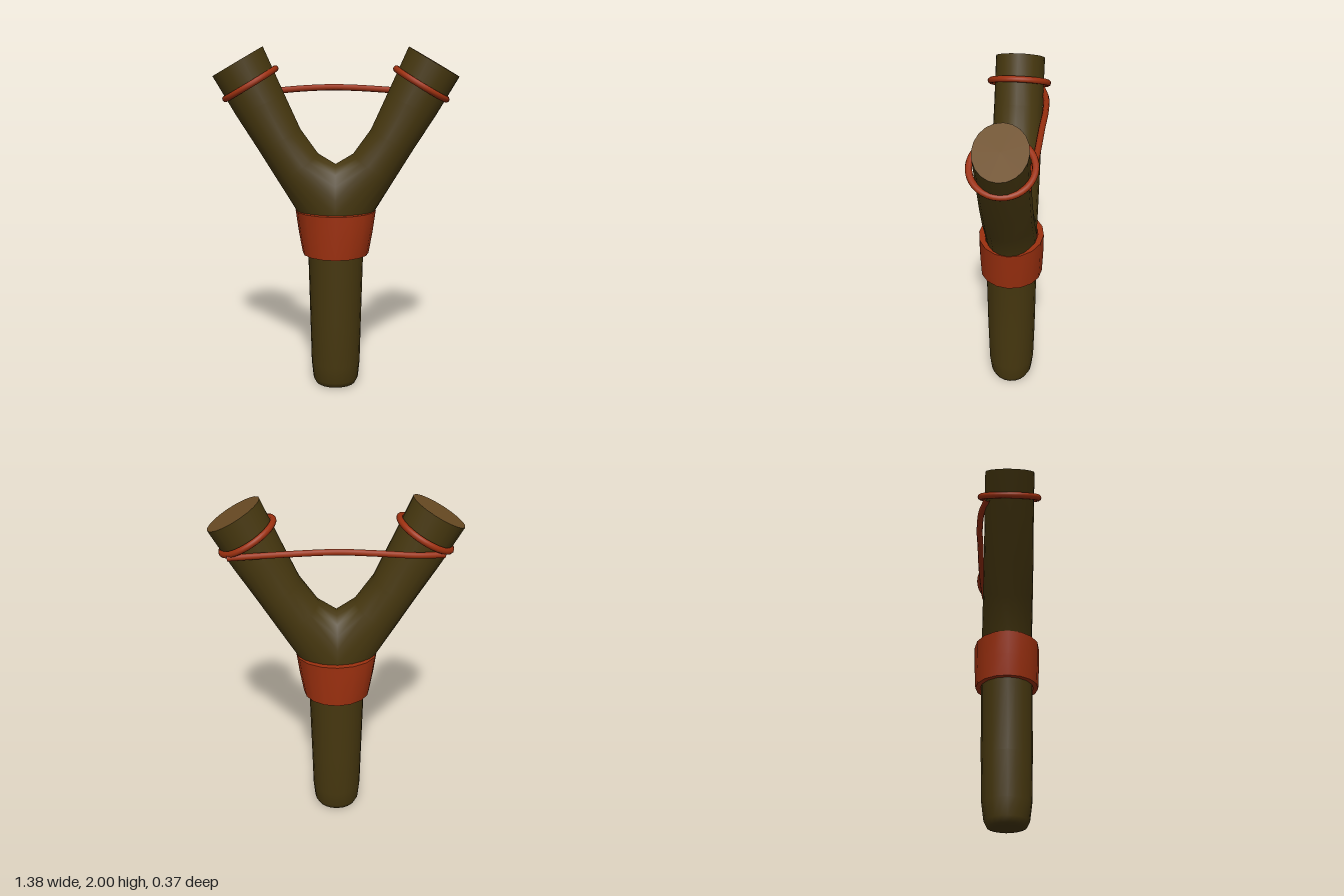
import * as THREE from 'three';
import { mergeVertices, mergeGeometries } from 'three/addons/utils/BufferGeometryUtils.js';

const N = 20; // sides of every branch section

// One ring of points from a rule (cos, sin) -> [x, y, z]
function ring(rule, n = N) {
  return Array.from({ length: n }, (_, i) => {
    const a = (i / n) * Math.PI * 2;
    return rule(Math.cos(a), Math.sin(a));
  });
}

// Skin over successive rings; mirrored copies reverse the corner order
function loft(rings, mirror = false) {
  const n = rings[0].length, pos = [], idx = [];
  for (const r of rings) for (const [x, y, z] of r) pos.push(mirror ? -x : x, y, z);
  for (let k = 0; k < rings.length - 1; k++) {
    for (let i = 0; i < n; i++) {
      const a = k * n + i, b = k * n + ((i + 1) % n), c = a + n, d = b + n;
      if (mirror) idx.push(a, b, c, b, d, c);
      else idx.push(a, c, b, b, c, d);
    }
  }
  const g = new THREE.BufferGeometry();
  g.setAttribute('position', new THREE.Float32BufferAttribute(pos, 3));
  g.setIndex(idx);
  return g;
}

function smooth(g) {
  const m = mergeVertices(g, 1e-4);
  m.computeVertexNormals();
  return m;
}

// Ring of an arm between its inner and outer edge points
function armRing([ix, iy], [ox, oy], depth) {
  const cx = (ix + ox) / 2, cy = (iy + oy) / 2, ux = (ox - ix) / 2, uy = (oy - iy) / 2;
  return ring((c, s) => [cx + ux * c, cy + uy * c, depth * s]);
}

export function createModel() {
  const bark = new THREE.MeshStandardMaterial({ color: 0x46370f });
  bark.name = 'darkBark';
  const cut = new THREE.MeshStandardMaterial({ color: 0x6b4c24 });
  cut.name = 'cutWood';
  const red = new THREE.MeshStandardMaterial({ color: 0x9c300f });
  red.name = 'redRubber';

  const model = new THREE.Group();
  model.name = 'slingshot';
  const add = (name, geometry, material) => {
    const mesh = new THREE.Mesh(geometry, material);
    mesh.name = name;
    model.add(mesh);
    return mesh;
  };

  // Handle sections: height, half width, half depth
  const handle = [
    [0, 0, 0], [0, 0.09, 0.085], [0.008, 0.118, 0.108], [0.04, 0.134, 0.125],
    [0.14, 0.144, 0.138], [0.4, 0.15, 0.144], [0.8, 0.16, 0.148], [0.92, 0.185, 0.148], [1.07, 0.228, 0.146],
  ].map(([y, w, d]) => ring((c, s) => [w * c, y, d * s]));

  // Arm: outer half starts on the handle, inner half follows the crotch on x = 0
  const saddle = ring((c, s) => [Math.max(0, c) * 0.228, 1.07 + Math.max(0, -c) * 0.27, 0.146 * s]);
  const tip = armRing([0.405, 2.0], [0.69, 1.835], 0.14);
  const arm = [
    saddle,
    armRing([0.1, 1.4], [0.33, 1.24], 0.143),
    armRing([0.2, 1.54], [0.445, 1.43], 0.142),
    armRing([0.29, 1.74], [0.565, 1.62], 0.14),
    tip,
  ];
  add('forkedBranch', smooth(mergeGeometries([loft(handle), loft(arm), loft(arm, true)])), bark);

  // Pale cut ends of both arms
  const tipCentre = ring(() => [0.5475, 1.9175, 0]);
  for (const [side, mirror] of [['left', false], ['right', true]]) {
    add(side + 'CutEnd', smooth(loft([tip, tipCentre], mirror)), cut);

    // Rubber loop tied round the arm
    const loop = add(side + 'Loop', new THREE.TorusGeometry(0.164, 0.018, 10, 36), red);
    const sign = mirror ? -1 : 1;
    loop.position.set(0.478 * sign, 1.794, 0);
    loop.quaternion.setFromUnitVectors(
      new THREE.Vector3(0, 0, 1), new THREE.Vector3(0.51 * sign, 0.86, 0).normalize());
  }

  // Grip band below the fork: outer wall, then rims and inner wall
  const bandRing = (y, w, d) => ring((c, s) => [w * c, y, d * s], 16);
  const walls = [
    [[0.815, 0.192, 0.18], [0.94, 0.214, 0.186], [1.07, 0.232, 0.187]],
    [[1.07, 0.232, 0.187], [1.07, 0.212, 0.153]],
    [[1.07, 0.212, 0.153], [0.815, 0.164, 0.152]],
    [[0.815, 0.164, 0.152], [0.815, 0.192, 0.18]],
  ].map((rows) => smooth(loft(rows.map((r) => bandRing(...r)))));
  add('gripBand', mergeGeometries(walls), red);

  // Strand stretched between the arms at the back
  const path = new THREE.CatmullRomCurve3([
    [-0.57, 1.72, -0.125], [-0.42, 1.732, -0.157], [-0.2, 1.752, -0.168],
    [0, 1.76, -0.162], [0.28, 1.748, -0.153], [0.58, 1.722, -0.13],
  ].map((p) => new THREE.Vector3(...p)));
  add('strand', new THREE.TubeGeometry(path, 40, 0.018, 8, false), red);

  return model;
}
